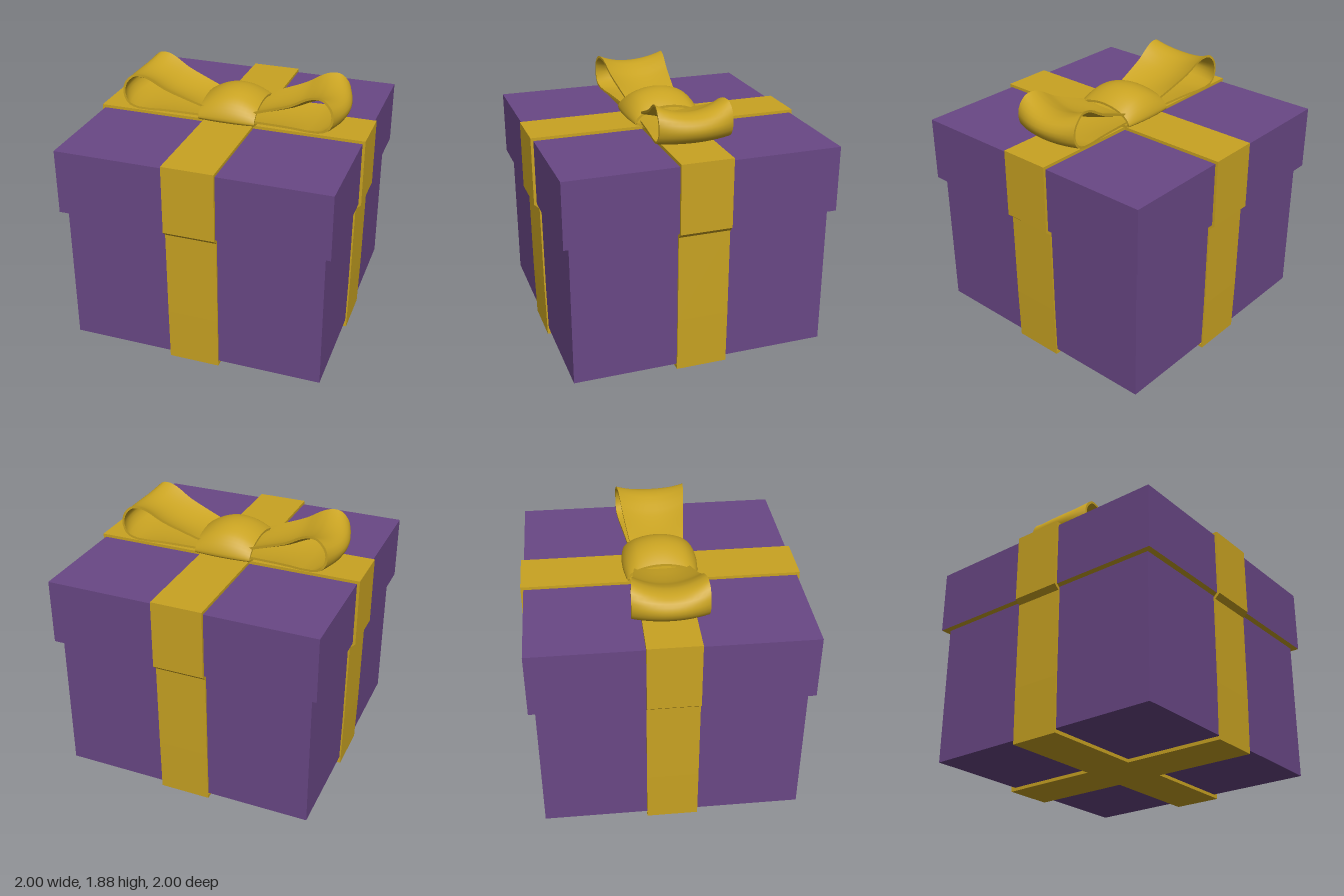
import * as THREE from 'three';
import { ParametricGeometry } from 'three/addons/geometries/ParametricGeometry.js';
import { mergeGeometries } from 'three/addons/utils/BufferGeometryUtils.js';

const V = (p) => new THREE.Vector3(p[0], p[1], 0);

// Thick curved band: a clockwise x-y profile swept across z, blending from a
// middle profile to an edge profile; halfWidth(x) sets how far it reaches in z.
function bandGeometry(middle, edge, halfWidth, thickness, segments, closed = false) {
  const mid = new THREE.CatmullRomCurve3(middle.map(V), closed);
  const rim = new THREE.CatmullRomCurve3(edge.map(V), closed);
  const at = (t, s) => mid.getPoint(t).lerp(rim.getPoint(t), s * s);
  const point = (t, s, depth, target) => {
    const p = at(t, s);
    const d = at(Math.min(t + 0.004, 1), s).sub(at(Math.max(t - 0.004, 0), s)).normalize();
    target.set(p.x + d.y * depth, p.y - d.x * depth, s * halfWidth(p.x));
  };
  const sheet = (f, stacks) => new ParametricGeometry(f, segments, stacks);
  return mergeGeometries([
    sheet((u, v, o) => point(u, 1 - 2 * v, 0, o), 12), // outside
    sheet((u, v, o) => point(u, 2 * v - 1, thickness, o), 12), // inside
    sheet((u, v, o) => point(u, 1, thickness * (1 - v), o), 1), // front rim
    sheet((u, v, o) => point(u, -1, thickness * v, o), 1), // back rim
  ]);
}

// Flat ribbon running all the way round the box, following the lid's step
function ribbonGeometry(width) {
  const loop = (half) => [
    ...half.map(([x, y]) => new THREE.Vector2(x, y)),
    ...half.slice().reverse().map(([x, y]) => new THREE.Vector2(-x, y)),
  ];
  const shape = new THREE.Shape(loop([[0.95, 0], [0.958, 0.4], [0.962, 1.04], [1, 1.075], [1, 1.577]]));
  shape.holes.push(new THREE.Path(loop([[0.94, 0.025], [0.946, 0.4], [0.949, 1.055], [0.978, 1.085], [0.978, 1.553]])));
  return new THREE.ExtrudeGeometry(shape, { depth: width, bevelEnabled: false }).translate(0, 0, -width / 2);
}

export function createModel() {
  const model = new THREE.Group();
  model.name = 'giftBox';
  const purple = new THREE.MeshStandardMaterial({ color: 0x694785 });
  purple.name = 'purple paper';
  const gold = new THREE.MeshStandardMaterial({ color: 0xc9a322, side: THREE.DoubleSide });
  gold.name = 'gold ribbon';

  const add = (name, geometry, material, parent = model) => {
    const mesh = new THREE.Mesh(geometry, material);
    mesh.name = name;
    parent.add(mesh);
    return mesh;
  };

  // Box and lid; the lid's underside is gold
  add('boxBody', new THREE.BoxGeometry(1.87, 1.05, 1.87), purple).position.y = 0.56;
  add('lid', new THREE.BoxGeometry(1.96, 0.475, 1.96),
    [purple, purple, purple, gold, purple, purple]).position.y = 1.3175;

  // Two crossing ribbons
  const ribbon = ribbonGeometry(0.372);
  add('ribbonAcross', ribbon, gold);
  add('ribbonFrontToBack', ribbon, gold).rotation.y = Math.PI / 2;

  // Bow
  const bow = new THREE.Group();
  bow.name = 'bow';
  model.add(bow);

  const loopMiddle = [[0.17, 1.66], [0.32, 1.69], [0.47, 1.735], [0.59, 1.79], [0.67, 1.815], [0.75, 1.812],
    [0.815, 1.78], [0.84, 1.72], [0.805, 1.65], [0.7, 1.605], [0.45, 1.588], [0.17, 1.588]];
  const loopEdge = [[0.17, 1.68], [0.32, 1.735], [0.47, 1.795], [0.58, 1.86], [0.645, 1.88], [0.71, 1.873],
    [0.77, 1.81], [0.785, 1.73], [0.755, 1.655], [0.68, 1.618], [0.45, 1.612], [0.17, 1.6]];
  const loop = bandGeometry(loopMiddle, loopEdge,
    (x) => 0.195 + 0.067 * Math.min(1, Math.max(0, (x - 0.17) / 0.58)), 0.017, 28);
  add('leftLoop', loop, gold, bow);
  add('rightLoop', loop, gold, bow).rotation.y = Math.PI;

  // Knot wrapped over the middle
  const arch = (half) => [...half, ...half.slice(0, -1).reverse().map(([x, y]) => [-x, y])];
  const knotMiddle = arch([[-0.22, 1.588], [-0.268, 1.61], [-0.255, 1.67], [-0.19, 1.745], [-0.1, 1.784], [0, 1.796]]);
  const knotEdge = arch([[-0.21, 1.588], [-0.247, 1.605], [-0.235, 1.64], [-0.18, 1.685], [-0.09, 1.713], [0, 1.722]]);
  add('knot', bandGeometry(knotMiddle, knotEdge, () => 0.21, 0.017, 36, true), gold, bow).rotation.y = Math.PI / 2;

  return model;
}
